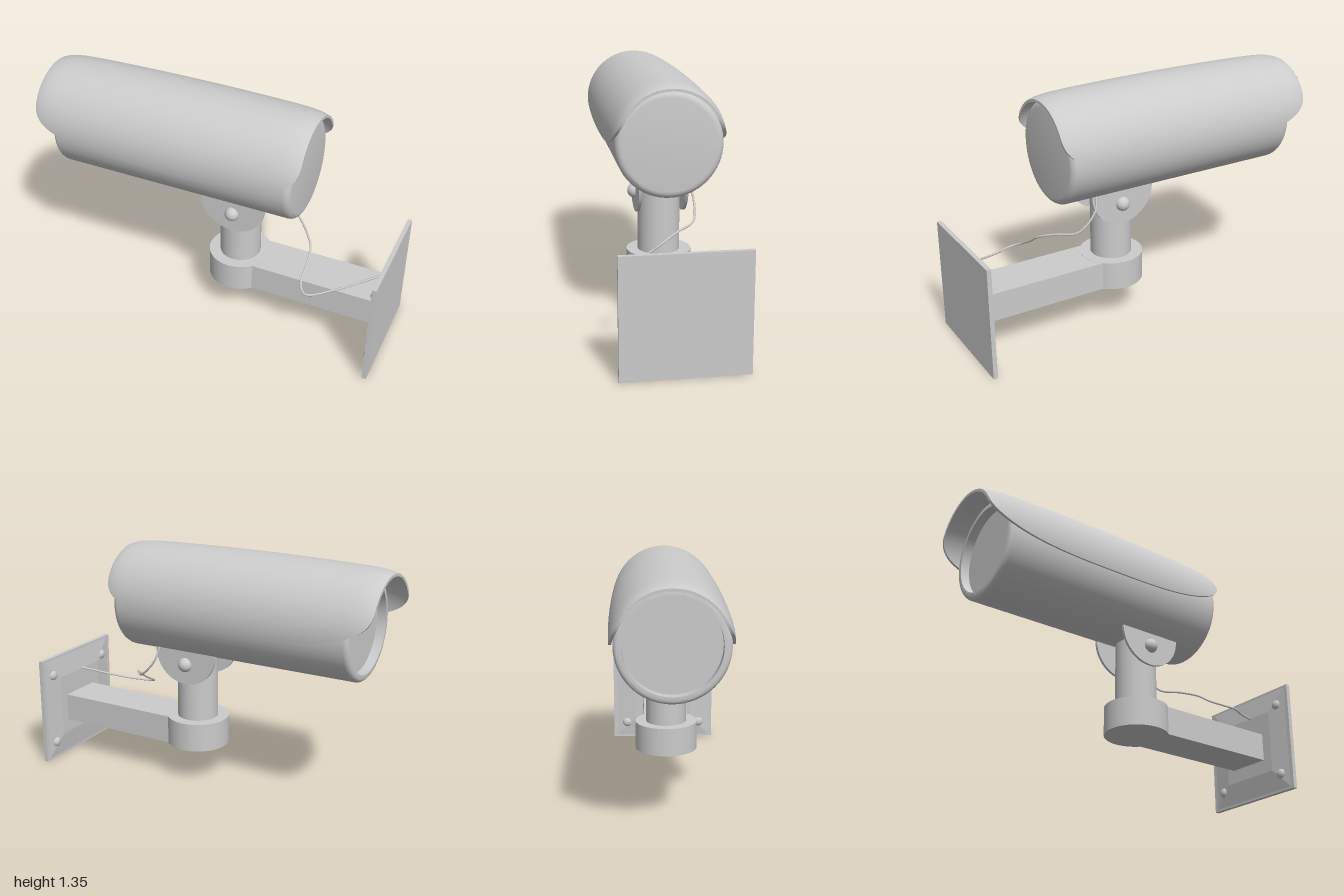
import * as THREE from 'three';
import { toCreasedNormals } from 'three/addons/utils/BufferGeometryUtils.js';
import { ParametricGeometry } from 'three/addons/geometries/ParametricGeometry.js';

const material = new THREE.MeshStandardMaterial({ color: 0xcccccc });
const thinMaterial = new THREE.MeshStandardMaterial({ color: 0xcccccc, side: THREE.DoubleSide });

const AXIS_Z = -0.005; // centre line of camera, post and arm
const POST_X = 0.118;

function add(parent, name, geometry, x = 0, y = 0, z = 0, mat = material) {
  const mesh = new THREE.Mesh(geometry, mat);
  mesh.name = name;
  mesh.position.set(x, y, z);
  parent.add(mesh);
  return mesh;
}

// Round housing along x, with a recessed window at its -x end
function housingGeometry() {
  const pts = [[0, -0.835], [0.238, -0.835], [0.238, -0.885], [0.252, -0.885]];
  const corner = (cx, cy, r, a0, a1) => {
    for (let i = 0; i <= 6; i++) {
      const a = a0 + (a1 - a0) * i / 6;
      pts.push([cx + r * Math.cos(a), cy + r * Math.sin(a)]);
    }
  };
  corner(0.252, -0.859, 0.026, -Math.PI / 2, 0);
  corner(0.24, 0.457, 0.038, 0, Math.PI / 2);
  pts.push([0, 0.495]);
  const profile = pts
    .filter((p, i) => i === 0 || Math.hypot(p[0] - pts[i - 1][0], p[1] - pts[i - 1][1]) > 1e-5)
    .map(p => new THREE.Vector2(...p));
  const geometry = new THREE.LatheGeometry(profile, 64);
  geometry.rotateZ(-Math.PI / 2);
  return toCreasedNormals(geometry, 0.6);
}

// Point on the sun hood: u along its length, v across it, inset towards the axis
function hoodPoint(u, v, inset, target) {
  const s = Math.sin((u - 0.5) * Math.PI);
  const e = Math.abs(s);
  const radius = 0.305 - 0.015 * e ** 2 - 0.018 * e ** 16;
  const edgeY = 0.16 - 0.225 * Math.max(0, 1 - e ** 2.8) ** (1 / 2.8);
  const a = (v * 2 - 1) * Math.acos(edgeY / radius);
  const r = radius - inset;
  return target.set(-0.2325 + 0.7675 * s, 1.04 + r * Math.cos(a), r * Math.sin(a));
}

function buildHood() {
  const hood = new THREE.Group();
  hood.name = 'sunHood';
  const t = 0.014;
  const z = AXIS_Z - 0.003;
  const surface = (name, fn, nu, nv) =>
    add(hood, name, new ParametricGeometry(fn, nu, nv), 0, 0, z, thinMaterial);
  surface('hoodOuter', (u, v, p) => hoodPoint(u, 1 - v, 0, p), 64, 48);
  surface('hoodInner', (u, v, p) => hoodPoint(u, v, t, p), 64, 48);
  for (const side of [0, 1]) {
    surface('hoodSideRim', (u, v, p) => hoodPoint(u, side, v * t, p), 64, 1);
    surface('hoodEndRim', (u, v, p) => hoodPoint(side, u, v * t, p), 48, 1);
  }
  return hood;
}

// Half-round ear of the swivel bracket
function earGeometry() {
  const shape = new THREE.Shape();
  shape.absarc(0, 0, 0.186, Math.PI, Math.PI * 2, false);
  shape.lineTo(0.186, 0.008);
  shape.lineTo(-0.186, 0.008);
  return new THREE.ExtrudeGeometry(shape, { depth: 0.015, bevelEnabled: false, curveSegments: 32 });
}

export function createModel() {
  const model = new THREE.Group();
  model.name = 'securityCamera';

  // Camera
  add(model, 'housing', housingGeometry(), 0, 1.022, AXIS_Z);
  model.add(buildHood());

  // Swivel bracket with a round bolt on each side
  for (const side of [-1, 1]) {
    add(model, 'bracketEar', earGeometry(), POST_X + 0.002, 0.773, AXIS_Z + side * 0.124 - 0.0075);
    add(model, 'bracketBolt', new THREE.SphereGeometry(0.04, 24, 16), POST_X + 0.002, 0.7, AXIS_Z + side * 0.131);
  }

  // Post, hub and wall arm
  add(model, 'post', new THREE.CylinderGeometry(0.114, 0.114, 0.43, 48), POST_X, 0.565, AXIS_Z);
  add(model, 'hub', new THREE.CylinderGeometry(0.176, 0.176, 0.16, 48), POST_X, 0.29, AXIS_Z);
  add(model, 'arm', new THREE.BoxGeometry(0.85, 0.158, 0.25), 0.545, 0.29, AXIS_Z);

  // Wall plate, slightly raised towards the arm
  add(model, 'wallPlate', new THREE.BoxGeometry(0.024, 0.625, 0.645), 0.988, 0.3125, 0);
  const raised = new THREE.CylinderGeometry(0.18 * Math.SQRT2, 0.3 * Math.SQRT2, 0.016, 4).toNonIndexed();
  raised.rotateY(Math.PI / 4);
  raised.rotateZ(Math.PI / 2);
  raised.computeVertexNormals();
  add(model, 'plateRaise', raised, 0.968, 0.3125, 0);

  // Four domed screws
  for (const y of [0.1, 0.52]) {
    for (const z of [-0.235, 0.235]) {
      const screw = add(model, 'plateScrew',
        new THREE.SphereGeometry(0.03, 20, 8, 0, Math.PI * 2, 0, Math.PI / 2), 0.974, y, z);
      screw.rotation.z = Math.PI / 2;
      screw.scale.y = 0.7;
    }
  }

  // Cable from the housing down and round to the wall
  const path = [
    [0.28, 0.79, -0.135], [0.305, 0.7, -0.16], [0.4, 0.6, -0.145], [0.49, 0.573, -0.05],
    [0.545, 0.54, 0.03], [0.555, 0.48, 0.12], [0.562, 0.43, 0.21], [0.605, 0.405, 0.255],
    [0.74, 0.425, 0.18], [0.98, 0.5, 0.015],
  ].map(p => new THREE.Vector3(...p));
  add(model, 'cable', new THREE.TubeGeometry(new THREE.CatmullRomCurve3(path), 100, 0.006, 8));

  return model;
}
